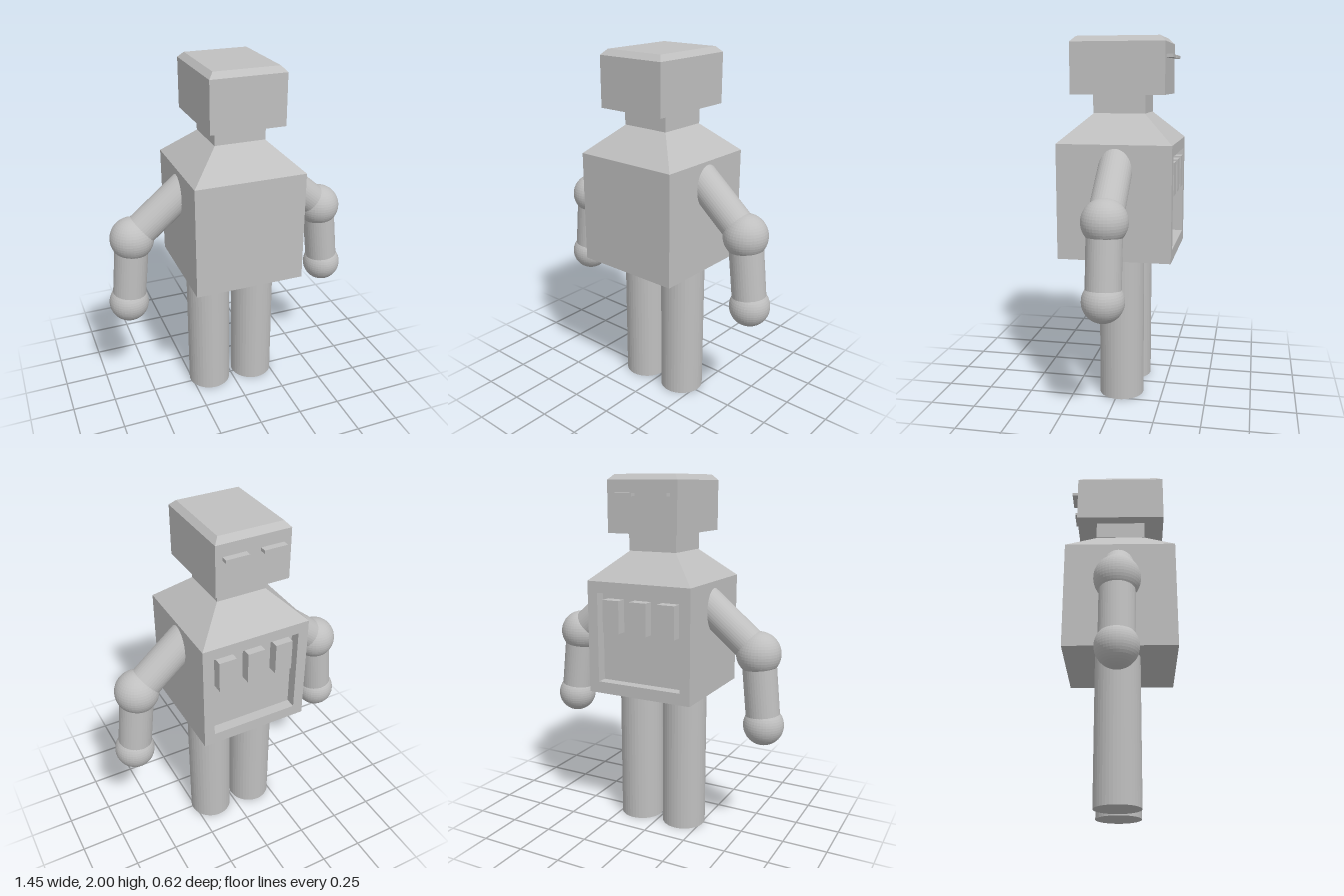
import * as THREE from 'three';

const grey = new THREE.MeshStandardMaterial({ color: 0xbfbfbf, flatShading: true });
grey.name = 'grey';

function add(parent, name, geometry, x = 0, y = 0, z = 0) {
  const mesh = new THREE.Mesh(geometry, grey);
  mesh.name = name;
  mesh.position.set(x, y, z);
  parent.add(mesh);
  return mesh;
}

// Box between two heights whose top may be narrower than its base
function block(parent, name, y0, y1, w, d, topW = w, topD = d, z = 0) {
  const g = new THREE.BoxGeometry(w, y1 - y0, d);
  const p = g.attributes.position;
  for (let i = 0; i < p.count; i++) {
    if (p.getY(i) > 0) p.setXYZ(i, p.getX(i) * topW / w, p.getY(i), p.getZ(i) * topD / d);
  }
  g.computeVertexNormals();
  return add(parent, name, g, 0, (y0 + y1) / 2, z);
}

// Cylinder running from point a to point b
function limb(parent, name, a, b, r) {
  const dir = b.clone().sub(a);
  const mid = a.clone().add(b).multiplyScalar(0.5);
  const mesh = add(parent, name, new THREE.CylinderGeometry(r, r, dir.length(), 40), mid.x, mid.y, mid.z);
  mesh.quaternion.setFromUnitVectors(new THREE.Vector3(0, 1, 0), dir.normalize());
}

function rectangle(PathType, x0, y0, x1, y1) {
  const p = new PathType();
  p.moveTo(x0, y0);
  p.lineTo(x1, y0);
  p.lineTo(x1, y1);
  p.lineTo(x0, y1);
  p.closePath();
  return p;
}

function makeTorso() {
  const torso = new THREE.Group();
  torso.name = 'torso';
  const depth = 0.06;
  block(torso, 'chest', 0.815, 1.44, 0.62, 0.62 - depth, 0.62, 0.62 - depth, depth / 2);
  // Raised rim around the recessed back panel
  const rim = rectangle(THREE.Shape, -0.31, 0.815, 0.31, 1.44);
  rim.holes.push(rectangle(THREE.Path, -0.25, 0.88, 0.25, 1.378));
  add(torso, 'panelRim', new THREE.ExtrudeGeometry(rim, { depth, bevelEnabled: false }), 0, 0, -0.31);
  // Three switches inside the panel
  for (const x of [-0.167, 0, 0.167]) {
    add(torso, 'panelSwitch', new THREE.BoxGeometry(0.1, 0.18, depth), x, 1.252, -0.28);
  }
  block(torso, 'shoulders', 1.44, 1.595, 0.62, 0.62, 0.28, 0.28);
  block(torso, 'neck', 1.595, 1.70, 0.285, 0.285);
  return torso;
}

function makeHead() {
  const head = new THREE.Group();
  head.name = 'head';
  block(head, 'skull', 1.695, 1.97, 0.412, 0.512);
  block(head, 'skullTop', 1.97, 2.0, 0.412, 0.512, 0.356, 0.45);
  // Slit eyes on the panel side
  for (const x of [-0.101, 0.105]) {
    add(head, 'eye', new THREE.BoxGeometry(0.128, 0.017, 0.05), x, 1.896, -0.267);
  }
  return head;
}

// One arm: shoulder inside the torso, elbow ball, hand ball
function makeArm(name, shoulder, elbow, hand) {
  const arm = new THREE.Group();
  arm.name = name;
  const [s, e, h] = [shoulder, elbow, hand].map(([x, y]) => new THREE.Vector3(x, y, -0.009));
  limb(arm, 'upperArm', s, e, 0.092);
  limb(arm, 'forearm', e, h, 0.093);
  add(arm, 'elbow', new THREE.SphereGeometry(0.121, 40, 24), e.x, e.y, e.z);
  add(arm, 'hand', new THREE.SphereGeometry(0.111, 40, 24), h.x, h.y, h.z);
  return arm;
}

export function createModel() {
  const robot = new THREE.Group();
  robot.name = 'robot';
  robot.add(makeTorso(), makeHead());
  robot.add(makeArm('leftArm', [0.2, 1.393], [0.563, 1.083], [0.609, 0.688]));
  robot.add(makeArm('rightArm', [-0.2, 1.375], [-0.573, 1.068], [-0.614, 0.673]));
  // Legs
  for (const [name, x] of [['rightLeg', -0.138], ['leftLeg', 0.142]]) {
    add(robot, name, new THREE.CylinderGeometry(0.125, 0.125, 0.82, 40), x, 0.41, -0.015);
  }
  return robot;
}
